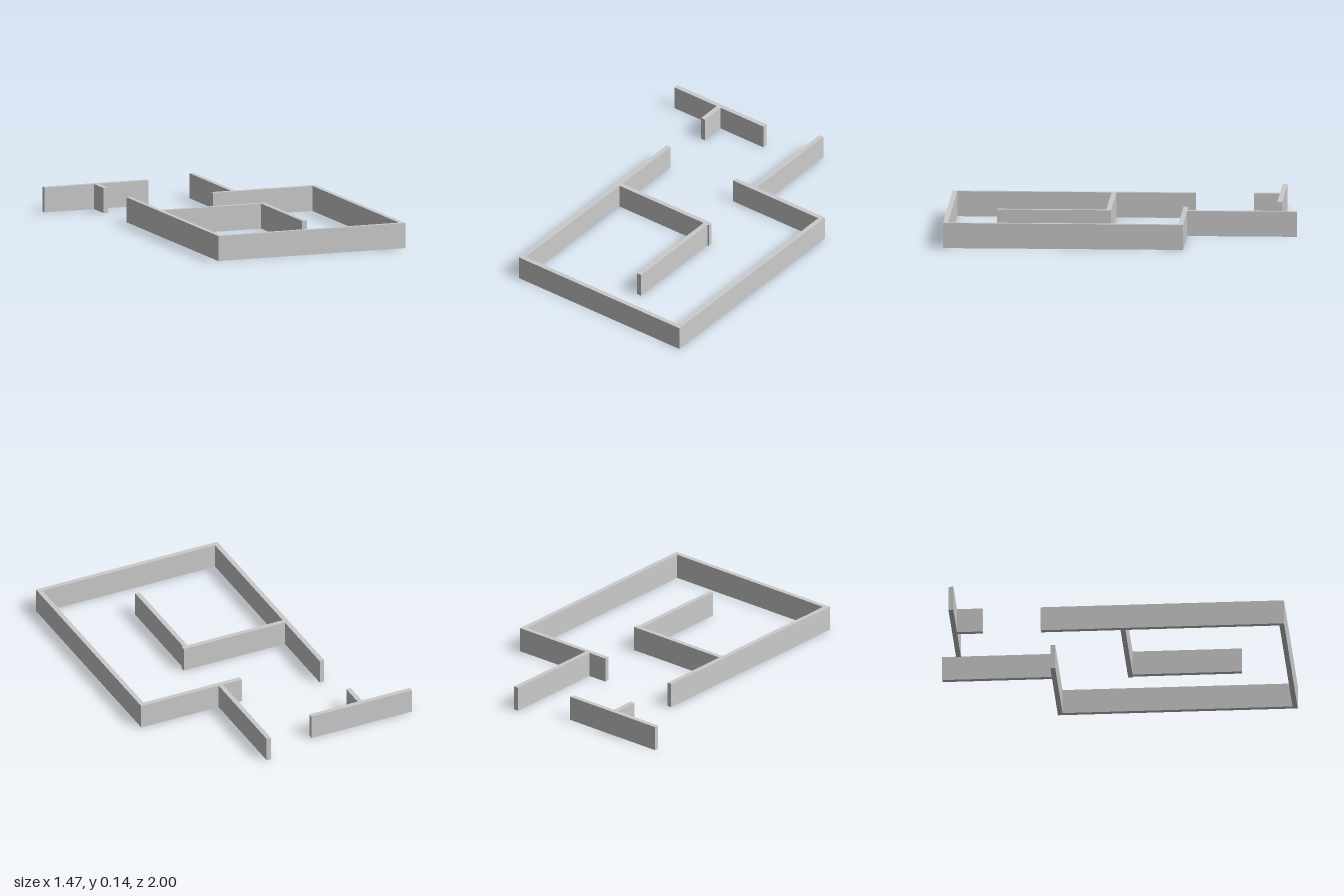
import * as THREE from 'three';

const HEIGHT = 0.145;

// Wall footprints: name, x from, x to, z from, z to
const WALLS = [
  ['frontWall', -0.423, 0.73, 0.972, 1],
  ['leftWall', 0.702, 0.73, -0.345, 0.972],
  ['rightWall', -0.423, -0.395, -0.393, 0.972],
  ['entryWall', 0.09, 0.73, -0.373, -0.345],
  ['backSpurWall', 0.21, 0.238, -1, -0.373],
  ['innerCrossWall', -0.395, 0.247, 0.062, 0.09],
  ['innerLongWall', 0.21, 0.238, 0.09, 0.715],
  ['detachedBackWall', -0.735, -0.095, -0.9, -0.872],
  ['detachedStub', -0.43, -0.402, -0.872, -0.725],
];

export function createModel() {
  const model = new THREE.Group();
  model.name = 'floorPlanWalls';
  const material = new THREE.MeshStandardMaterial({ color: 0xcccccc });

  // Each wall is an upright slab standing on the ground
  for (const [name, x0, x1, z0, z1] of WALLS) {
    const wall = new THREE.Mesh(new THREE.BoxGeometry(x1 - x0, HEIGHT, z1 - z0), material);
    wall.name = name;
    wall.position.set((x0 + x1) / 2, HEIGHT / 2, (z0 + z1) / 2);
    model.add(wall);
  }
  return model;
}
